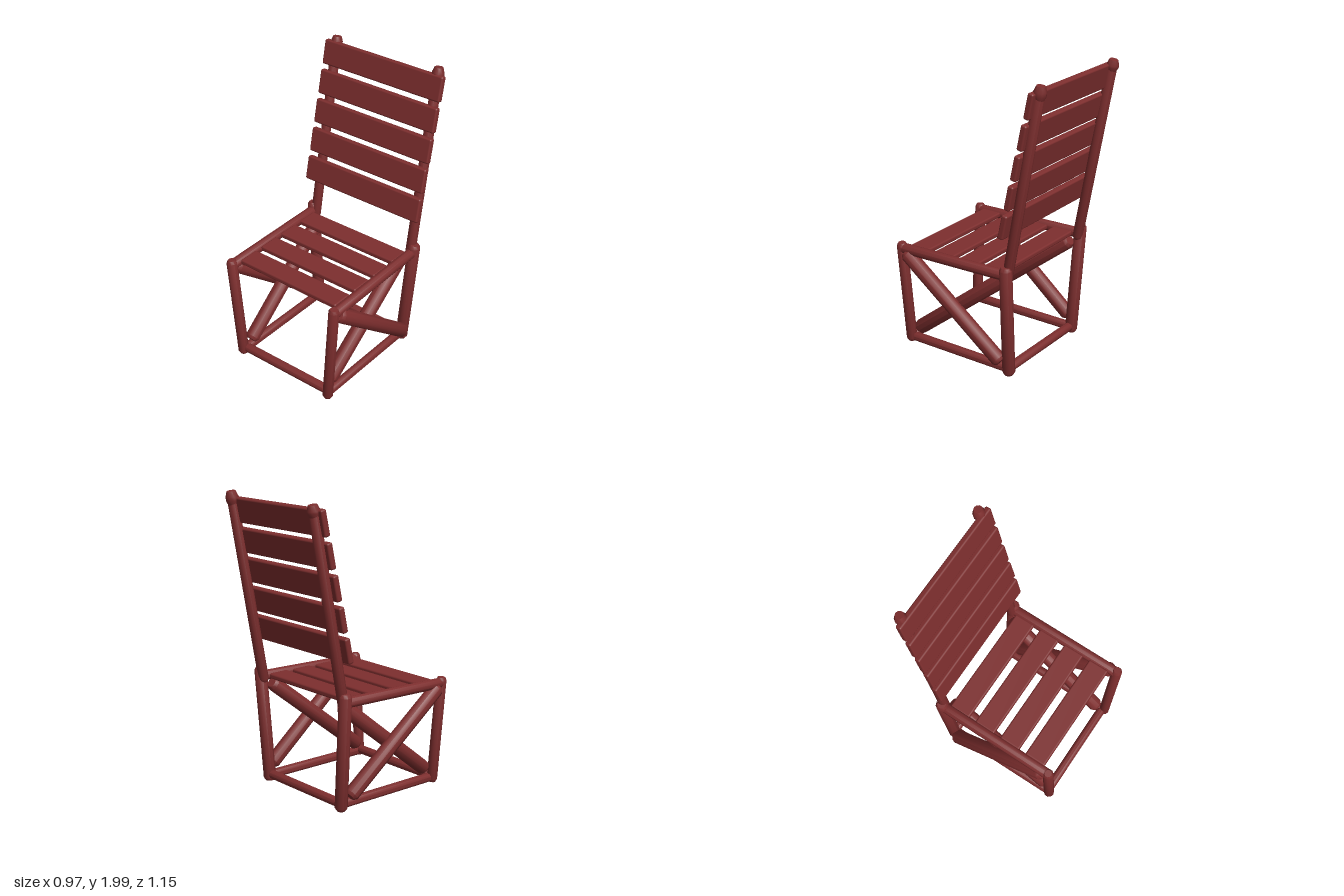
import * as THREE from 'three';
import { toCreasedNormals } from 'three/addons/utils/BufferGeometryUtils.js';
import { RoundedBoxGeometry } from 'three/addons/geometries/RoundedBoxGeometry.js';

const wood = new THREE.MeshStandardMaterial({ color: 0x7d2e2e });
const UP = new THREE.Vector3(0, 1, 0);

// Round pole between two points, with chamfered ends
function pole(name, from, to, r, chamfer = 0.02) {
  const a = new THREE.Vector3(...from);
  const dir = new THREE.Vector3(...to).sub(a);
  const len = dir.length();
  const profile = [
    [0, 0], [r * 0.7, 0], [r, chamfer], [r, len - chamfer], [r * 0.7, len], [0, len],
  ].map(([x, y]) => new THREE.Vector2(x, y));
  const geometry = toCreasedNormals(new THREE.LatheGeometry(profile, 10), 0.7);
  const mesh = new THREE.Mesh(geometry, wood);
  mesh.name = name;
  mesh.position.copy(a);
  mesh.quaternion.setFromUnitVectors(UP, dir.normalize());
  return mesh;
}

// Flat slat with softened edges, centred on x = 0
function slat(name, width, height, depth, y, z, tilt = 0) {
  const mesh = new THREE.Mesh(new RoundedBoxGeometry(width, height, depth, 2, 0.012), wood);
  mesh.name = name;
  mesh.position.set(0, y, z);
  mesh.rotation.x = tilt;
  return mesh;
}

export function createModel() {
  const chair = new THREE.Group();
  chair.name = 'chair';

  for (const [side, s] of [['left', 1], ['right', -1]]) {
    const frame = new THREE.Group();
    frame.name = side + 'Frame';
    frame.add(
      // Legs lean inwards towards the ground
      pole('frontLeg', [s * 0.37, 0.01, 0.532], [s * 0.432, 0.755, 0.542], 0.036),
      pole('rearLeg', [s * 0.37, 0.01, -0.285], [s * 0.435, 0.8, -0.305], 0.042),
      // Long rails at the seat and at the ground
      pole('seatRail', [s * 0.428, 0.715, 0.55], [s * 0.425, 0.738, -0.31], 0.036),
      pole('bottomRail', [s * 0.365, 0.042, 0.52], [s * 0.365, 0.05, -0.3], 0.031),
      // Crossed braces, one outside the other
      pole('outerBrace', [s * 0.436, 0.695, 0.505], [s * 0.408, 0.105, -0.245], 0.05),
      pole('innerBrace', [s * 0.342, 0.105, 0.485], [s * 0.358, 0.7, -0.27], 0.05),
      // Leaning back post with a thicker knob on top
      pole('backPost', [s * 0.407, 0.7, -0.296], [s * 0.405, 1.97, -0.53], 0.035),
      pole('postKnob', [s * 0.405, 1.9, -0.52], [s * 0.405, s > 0 ? 1.995 : 1.982, -0.536], 0.041, 0.035),
    );
    chair.add(frame);
  }

  // Cross rails at the ground
  chair.add(
    pole('frontCrossRail', [-0.36, 0.055, 0.52], [0.36, 0.055, 0.52], 0.031),
    pole('rearCrossRail', [-0.36, 0.055, -0.285], [0.36, 0.055, -0.285], 0.031),
  );

  // Seat slats
  for (let i = 0; i < 4; i++) {
    chair.add(slat('seatSlat', 0.8, 0.036, 0.15, 0.725 + 0.003 * (3 - i), -0.185 + 0.2 * i));
  }

  // Back slats, following the lean of the posts
  for (let i = 0; i < 5; i++) {
    chair.add(slat('backSlat', 0.94, 0.168, 0.042, 1.075 + 0.2 * i, -0.3 - 0.047 * i, -0.21));
  }

  return chair;
}
